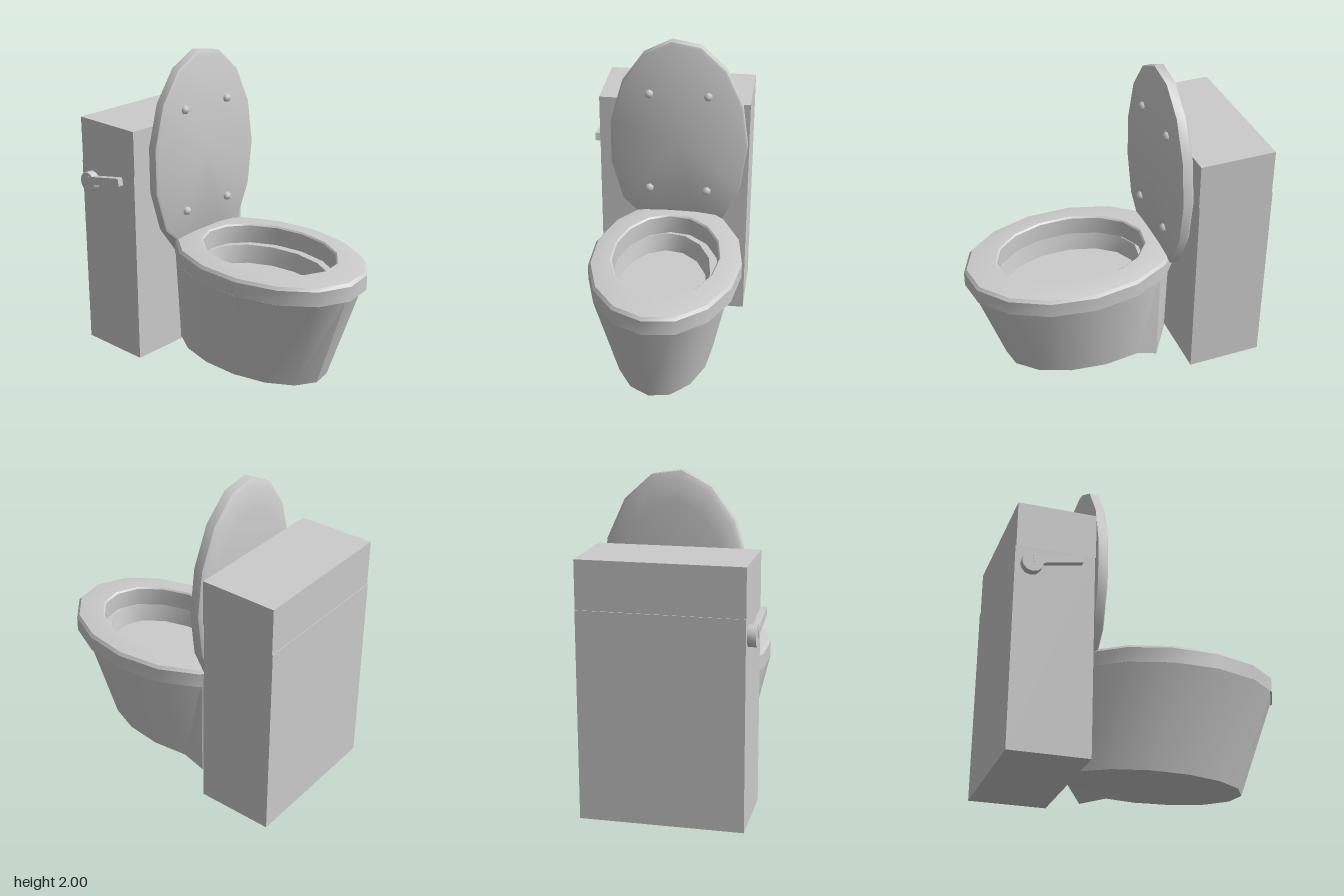
import * as THREE from 'three';
import { toCreasedNormals } from 'three/addons/utils/BufferGeometryUtils.js';

const SIDES = 15;
const material = new THREE.MeshStandardMaterial({ color: 0xcccccc });

function add(parent, name, geometry, x = 0, y = 0, z = 0) {
  const mesh = new THREE.Mesh(geometry, material);
  mesh.name = name;
  mesh.position.set(x, y, z);
  parent.add(mesh);
  return mesh;
}

// One ring of points from a rule taking cos and sin
function ring(rule) {
  return Array.from({ length: SIDES }, (_, i) => {
    const a = (i / SIDES) * Math.PI * 2;
    return rule(Math.cos(a), Math.sin(a));
  });
}

// Skin over successive rings, with optional flat ends
function loft(rings, capped, crease = 0.65) {
  const pos = [];
  const tri = (a, b, c) => pos.push(...a, ...b, ...c);
  for (let k = 0; k < rings.length - 1; k++) {
    for (let i = 0; i < SIDES; i++) {
      const j = (i + 1) % SIDES;
      const [p, q] = [rings[k], rings[k + 1]];
      tri(p[i], q[i], p[j]);
      tri(p[j], q[i], q[j]);
    }
  }
  if (capped) {
    const mid = r => [0, 1, 2].map(n => r.reduce((s, p) => s + p[n], 0) / SIDES);
    const first = rings[0], last = rings[rings.length - 1];
    for (let i = 0; i < SIDES; i++) {
      const j = (i + 1) % SIDES;
      tri(mid(first), first[i], first[j]);
      tri(mid(last), last[j], last[i]);
    }
  }
  const g = new THREE.BufferGeometry();
  g.setAttribute('position', new THREE.Float32BufferAttribute(pos, 3));
  return toCreasedNormals(g, crease);
}

// Horizontal oval ring, flattened at the back
const oval = (cx, cz, rx, rz, y, back) =>
  ring((c, s) => [cx + rx * c, y, Math.max(cz + rz * s, back)]);

// Upright oval ring for the lid, cut off at the hinge
const upright = (scale, z, low) =>
  ring((c, s) => [0.05 + 0.445 * scale * c, Math.max(1.3 + 0.703 * scale * s, low), z]);

export function createModel() {
  const model = new THREE.Group();

  // Bowl: tapered outside, flat rim, shallow basin
  const base = oval(0.03, 0.1, 0.315, 0.575, 0.055, -0.4);
  // one corner of the foot reaches the ground
  let foot = base[0];
  for (const p of base) {
    if (Math.hypot(p[0] - 0.31, p[2] + 0.27) < Math.hypot(foot[0] - 0.31, foot[2] + 0.27)) foot = p;
  }
  foot.splice(0, 3, 0.31, 0, -0.27);
  add(model, 'bowl', loft([
    base,
    oval(0.02, 0.225, 0.45, 0.67, 0.69, -0.4),
    oval(0.017, 0.225, 0.308, 0.46, 0.69, -0.4),
    oval(0.017, 0.225, 0.285, 0.437, 0.57, -0.4),
  ], true));

  // Seat ring: straight outer wall, rounded top, open middle
  const seatProfile = [
    [0.475, 0.69, 0.69], [0.475, 0.69, 0.785], [0.46, 0.673, 0.804],
    [0.4, 0.58, 0.817], [0.34, 0.488, 0.82], [0.33, 0.478, 0.81],
    [0.33, 0.478, 0.69], [0.475, 0.69, 0.69],
  ];
  add(model, 'seat', loft(seatProfile.map(([rx, rz, y]) => oval(0.045, 0.225, rx, rz, y, -0.44)), false));

  // Raised lid: flat inside, domed edge on the back
  add(model, 'lid', loft([
    upright(0.97, -0.32, 0.77), upright(1, -0.328, 0.755), upright(1, -0.385, 0.66),
    upright(0.95, -0.402, 0.645), upright(0.75, -0.42, 0.7),
  ], true));

  // Four buffers on the lid
  for (const x of [-0.135, 0.24]) {
    for (const y of [0.98, 1.65]) {
      const buffer = add(model, 'lidBuffer', new THREE.SphereGeometry(0.03, 7, 5), x, y, -0.32);
      buffer.rotation.x = Math.PI / 2;
    }
  }

  // Cistern and its cover
  add(model, 'cistern', new THREE.BoxGeometry(0.975, 1.26, 0.485), 0.0125, 0.64, -0.675);
  add(model, 'cisternCover', new THREE.BoxGeometry(0.975, 0.29, 0.485), 0.0125, 1.415, -0.67);

  // Flush handle: round pivot and lever
  const handle = new THREE.Group();
  handle.name = 'flushHandle';
  handle.position.set(-0.5, 1.155, -0.82);
  const pivot = add(handle, 'handlePivot', toCreasedNormals(new THREE.CylinderGeometry(0.065, 0.065, 0.05, 12), 0.65));
  pivot.rotation.z = Math.PI / 2;
  const lever = add(handle, 'handleLever', new THREE.BoxGeometry(0.038, 0.05, 0.3), -0.008, 0.04, 0.15);
  lever.rotation.x = -0.19;
  model.add(handle);

  return model;
}
